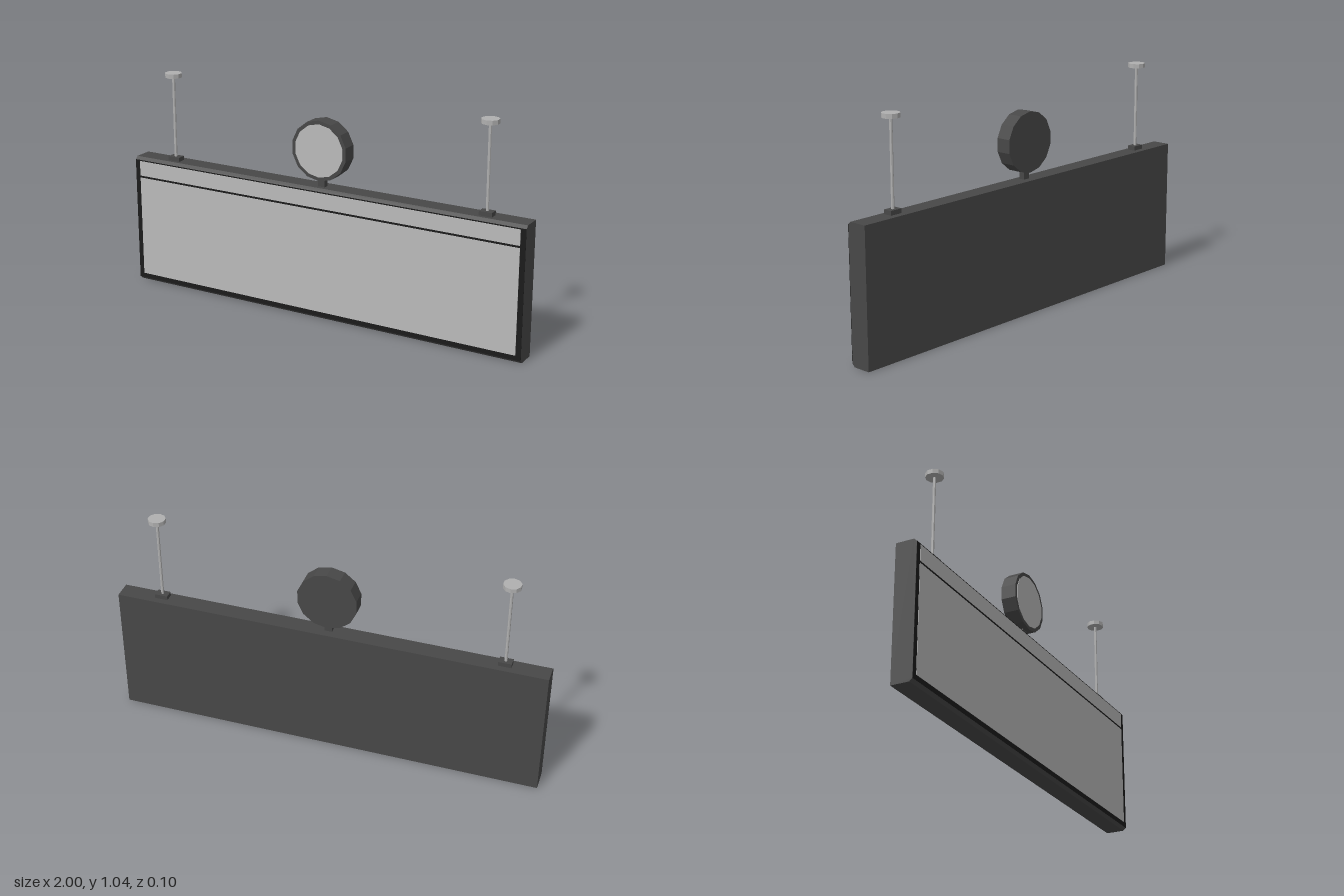
import * as THREE from 'three';

const mat = (name, color) => {
  const m = new THREE.MeshStandardMaterial({ color });
  m.name = name;
  m.flatShading = true;
  return m;
};

export function createModel() {
  const casing = mat('dark grey casing', 0x484848);
  const black = mat('black bezel', 0x1b1b1b);
  const panel = mat('pale grey panel', 0xbababa);
  const metal = mat('light metal', 0xb0b0b0);

  const model = new THREE.Group();
  model.name = 'hangingSign';
  const add = (name, geometry, material, x, y, z, parent = model) => {
    const mesh = new THREE.Mesh(geometry, material);
    mesh.name = name;
    mesh.position.set(x, y, z);
    parent.add(mesh);
    return mesh;
  };
  const box = (w, h, d) => new THREE.BoxGeometry(w, h, d);

  // Casing: side profile with chamfered front edges, extruded along x
  const profile = new THREE.Shape([
    [0.05, 0], [0.05, 0.62], [-0.035, 0.62], [-0.048, 0.607], [-0.048, 0.013], [-0.035, 0],
  ].map(([a, b]) => new THREE.Vector2(a, b)));
  const body = new THREE.ExtrudeGeometry(profile, { depth: 2, bevelEnabled: false });
  body.rotateY(Math.PI / 2); // profile -x becomes +z
  add('casing', body, casing, -1, 0, 0);

  // Black front face and the two display panels
  add('bezel', box(2, 0.594, 0.002), black, 0, 0.31, 0.0482);
  add('mainPanel', box(1.95, 0.485, 0.003), panel, 0, 0.2775, 0.0495);
  add('headerPanel', box(1.95, 0.072, 0.003), panel, 0, 0.566, 0.0495);

  // Clock on a short stem, fourteen-sided with a corner at the top
  const clock = new THREE.Group();
  clock.name = 'clock';
  clock.position.set(0, 0.791, 0);
  model.add(clock);
  const disc = (r, depth) => {
    const g = new THREE.CylinderGeometry(r, r, depth, 14);
    return g.rotateX(Math.PI / 2);
  };
  add('clockCase', disc(0.139, 0.07), casing, 0, 0, 0, clock);
  add('clockFace', disc(0.122, 0.004), panel, 0, 0, 0.035, clock);
  add('clockStem', box(0.034, 0.05, 0.026), casing, 0, 0.64, 0);

  // Ceiling hangers
  for (const side of [-1, 1]) {
    const hanger = new THREE.Group();
    hanger.name = side > 0 ? 'leftHanger' : 'rightHanger';
    hanger.position.x = side * 0.8;
    model.add(hanger);
    add('foot', box(0.06, 0.02, 0.04), casing, 0, 0.63, 0, hanger);
    add('rod', new THREE.CylinderGeometry(0.007, 0.007, 0.39, 8), metal, 0, 0.83, 0, hanger);
    add('ceilingPlate', new THREE.CylinderGeometry(0.04, 0.04, 0.02, 10), metal, 0, 1.031, 0, hanger);
  }
  return model;
}
